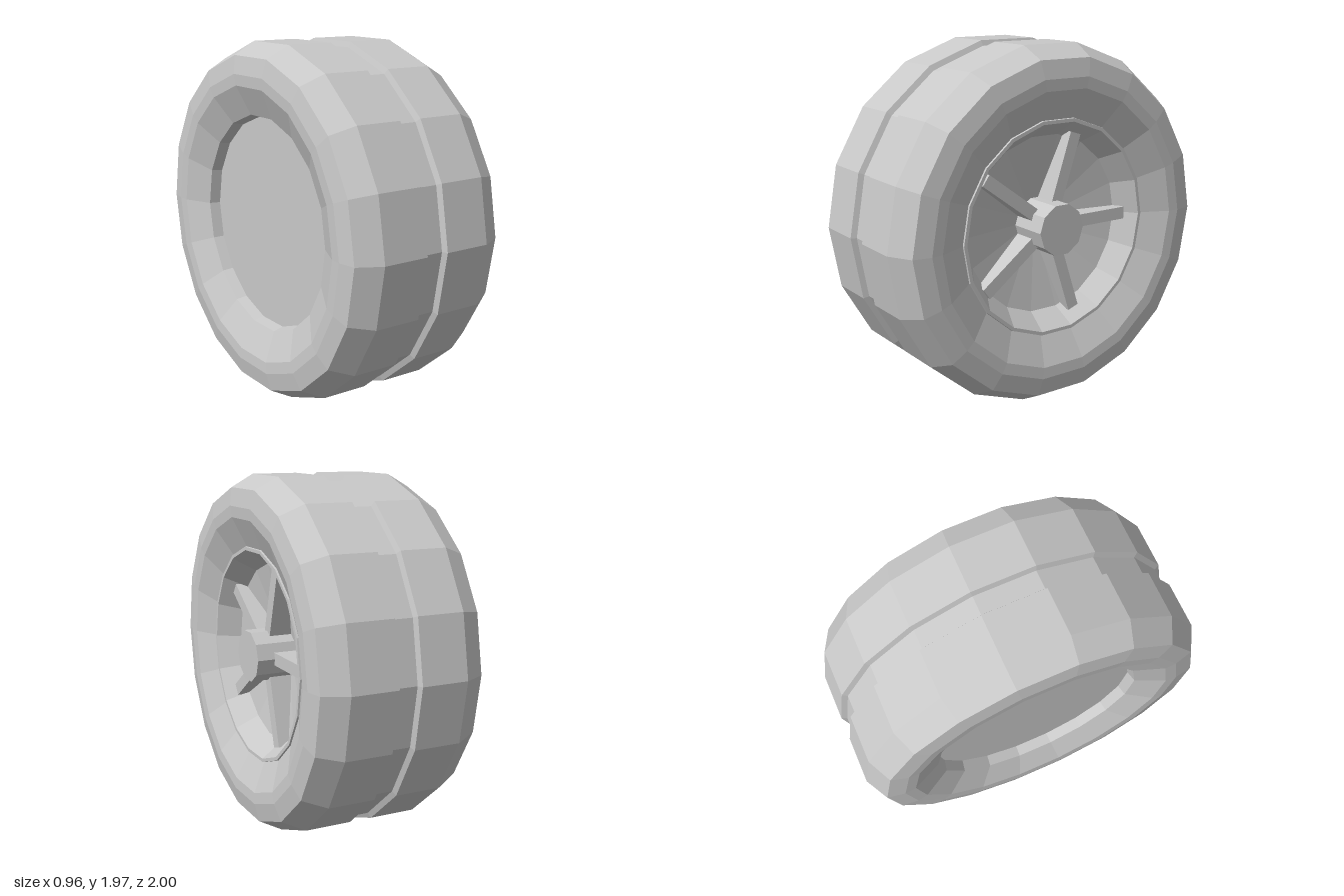
import * as THREE from 'three';

const SIDES = 18;
const AXLE_Y = 0.985;

export function createModel() {
  const model = new THREE.Group();
  model.name = 'wheel';
  const grey = new THREE.MeshStandardMaterial({ color: 0xc8c8c8, flatShading: true });
  grey.name = 'plain grey';

  const wheel = new THREE.Group();
  wheel.name = 'wheelAssembly';
  wheel.position.y = AXLE_Y;
  model.add(wheel);

  function add(name, geometry) {
    const flat = geometry.index ? geometry.toNonIndexed() : geometry;
    flat.computeVertexNormals();
    const mesh = new THREE.Mesh(flat, grey);
    mesh.name = name;
    wheel.add(mesh);
    return mesh;
  }

  // Revolves [radius, x] pairs around the axle; x increases along the outside
  function revolve(name, pairs) {
    const points = pairs.map(([r, x]) => new THREE.Vector2(r, x));
    return add(name, new THREE.LatheGeometry(points, SIDES).rotateZ(-Math.PI / 2));
  }

  // Tyre: symmetric section with a central groove, from the tread to the bead
  const half = [
    [0.97, 0.053], [1, 0.065], [1, 0.33], [0.93, 0.46],
    [0.83, 0.478], [0.767, 0.474], [0.604, 0.4],
  ];
  const mirrored = half.map(([r, x]) => [r, -x]).reverse();
  revolve('tyre', [...mirrored, ...half]);

  // Closed back of the wheel, sunk inside the bead
  revolve('backCover', [[0, -0.34], [0.59, -0.34], [0.604, -0.4]]);

  // Rim: narrow lip, sloping wall and dished centre
  revolve('rim', [[0.604, 0.4], [0.602, 0.41], [0.583, 0.41], [0.5, 0.285], [0, 0.19]]);

  // Hub
  const hubBack = 0.17, hubFront = 0.445;
  const hub = new THREE.CylinderGeometry(0.145, 0.145, hubFront - hubBack, 10);
  hub.rotateZ(-Math.PI / 2).translate((hubBack + hubFront) / 2, 0, 0);
  add('hub', hub);

  // Five spokes, level in front and following the dish behind
  const profile = new THREE.Shape([
    new THREE.Vector2(0.1, 0.2), new THREE.Vector2(0.525, 0.275),
    new THREE.Vector2(0.525, 0.35), new THREE.Vector2(0.1, 0.345),
  ]);
  const width = 0.07;
  const spoke = new THREE.ExtrudeGeometry(profile, { depth: width, bevelEnabled: false });
  spoke.translate(0, 0, -width / 2);
  spoke.applyMatrix4(new THREE.Matrix4().makeBasis(
    new THREE.Vector3(0, 0, -1), new THREE.Vector3(1, 0, 0), new THREE.Vector3(0, -1, 0)));
  for (let i = 0; i < 5; i++) {
    add('spoke' + (i + 1), spoke).rotation.x = (i * Math.PI * 2) / 5;
  }

  return model;
}
